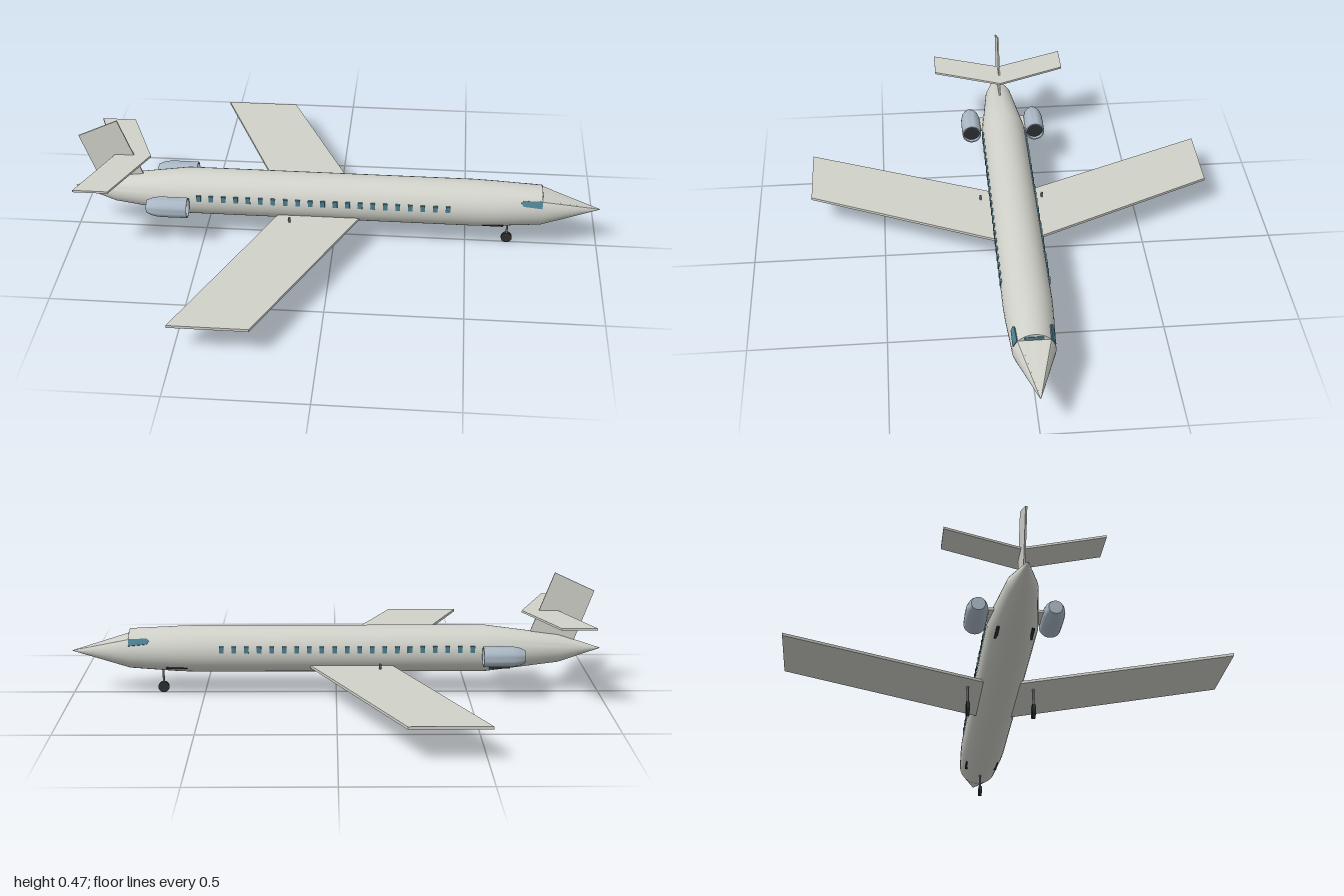
import * as THREE from 'three';
import { toCreasedNormals } from 'three/addons/utils/BufferGeometryUtils.js';

const mat = (color, side = THREE.FrontSide) => new THREE.MeshStandardMaterial({ color, side });
const MID = 0.1725; // height of the fuselage axis

// Closed skin through circular sections [x, centreY, radius, flatTopHeight]
function loft(sections, n = 36) {
  const pos = [], idx = [];
  for (const [x, cy, r, top = Infinity] of sections) {
    for (let j = 0; j < n; j++) {
      const a = (j / n) * Math.PI * 2;
      pos.push(x, Math.min(cy + r * Math.sin(a), top), r * Math.cos(a));
    }
  }
  for (let i = 0; i < sections.length - 1; i++) {
    for (let j = 0; j < n; j++) {
      const k = (j + 1) % n, a = i * n + j, b = i * n + k;
      idx.push(a, a + n, b, b, a + n, b + n);
    }
  }
  const g = new THREE.BufferGeometry();
  g.setAttribute('position', new THREE.Float32BufferAttribute(pos, 3));
  g.setIndex(idx);
  return toCreasedNormals(g, 0.4);
}

// Thin slab cut from an outline, centred on its own thickness
function slab(points, thickness) {
  const shape = new THREE.Shape(points.map(([x, y]) => new THREE.Vector2(x, y)));
  return new THREE.ExtrudeGeometry(shape, { depth: thickness, bevelEnabled: false })
    .translate(0, 0, -thickness / 2);
}

export function createModel() {
  const model = new THREE.Group();
  const skin = mat(0xd0d2ca), glass = mat(0x4d7f90), dark = mat(0x2c2f32);
  const strutMat = mat(0x777b7d), nacelleMat = mat(0xa9b7c4, THREE.DoubleSide);

  const add = (name, geometry, material, x = 0, y = 0, z = 0, parent = model) => {
    const m = new THREE.Mesh(geometry, material);
    m.name = name;
    m.position.set(x, y, z);
    parent.add(m);
    return m;
  };

  // Fuselage with tail cone, stepped windscreen and flat-topped nose
  add('fuselage', loft([
    [-1, 0.172, 0.001], [-0.84, 0.172, 0.053], [-0.56, MID, 0.0885],
    [0.53, MID, 0.0885], [0.6, MID, 0.086], [0.78, 0.175, 0.075],
    [0.78, 0.175, 0.075, 0.225], [1, 0.165, 0.001],
  ]), skin);

  // Swept wing and tailplane, each one slab across the centre line
  const swept = (lead, trail, tipLead, tipTrail, span) => [
    [lead, 0], [tipLead, span], [tipTrail, span], [trail, 0], [tipTrail, -span], [tipLead, -span],
  ];
  add('wing', slab(swept(0.13, -0.18, -0.23, -0.515, 0.78), 0.01).rotateX(-Math.PI / 2), skin, 0, 0.12);
  add('tailplane', slab(swept(-0.7, -0.835, -0.81, -0.94, 0.265), 0.008).rotateX(-Math.PI / 2), skin, 0, 0.315);
  add('fin', slab([[-0.89, 0.175], [-0.71, 0.175], [-0.82, 0.465], [-0.97, 0.395]], 0.006), skin);

  // Nacelle profile: radius against distance along the engine
  const nacelle = new THREE.LatheGeometry([
    [0, 0], [0.024, 0], [0.033, 0.02], [0.038, 0.045], [0.039, 0.1], [0.038, 0.155], [0.033, 0.155], [0.031, 0.12],
  ].map(([r, h]) => new THREE.Vector2(r, h)), 28).rotateZ(-Math.PI / 2);
  const nacelleGeo = toCreasedNormals(nacelle, 0.6);
  const windowGeo = new THREE.BoxGeometry(0.017, 0.025, 0.008);

  for (const s of [1, -1]) {
    const side = s > 0 ? 'right' : 'left';

    // Engine
    const engine = new THREE.Group();
    engine.name = side + 'Engine';
    engine.position.set(-0.7, 0.175, s * 0.13);
    add('nacelle', nacelleGeo, nacelleMat, 0, 0, 0, engine);
    add('fan', new THREE.CylinderGeometry(0.033, 0.033, 0.004, 28).rotateZ(Math.PI / 2), dark, 0.14, 0, 0, engine);
    add('pylon', new THREE.BoxGeometry(0.09, 0.01, 0.04), skin, 0.08, 0, -s * 0.045, engine);
    model.add(engine);

    // Cabin windows
    const windows = new THREE.Group();
    windows.name = side + 'CabinWindows';
    for (let i = 0; i < 21; i++) {
      add('cabinWindow', windowGeo, glass, -0.51 + i * 0.047, 0.19, s * 0.0865, windows);
    }
    model.add(windows);

    // Cockpit side window, leaning with the skin
    const pane = slab([[-0.04, 0.006], [-0.03, -0.008], [0.04, -0.014], [0.04, 0.014], [-0.03, 0.014]], 0.006);
    const cockpit = add(side + 'CockpitWindow', pane, glass, 0.74, 0.214, s * 0.0665);
    cockpit.rotation.set(-s * 0.54, s * 0.06, 0);

    // Lower hatch edges
    for (const x of [-0.615, 0.6]) {
      add(side + 'HatchEdge', new THREE.BoxGeometry(0.08, 0.006, 0.01), dark, x, 0.113, s * 0.06);
    }
  }

  // Windscreen on the step above the nose
  add('windscreen', new THREE.BoxGeometry(0.004, 0.013, 0.066), glass, 0.78, 0.233, 0);

  // Landing gear: strut and wheel
  const gear = (name, x, z, radius, top) => {
    const g = new THREE.Group();
    g.name = name;
    g.position.set(x, 0, z);
    add('strut', new THREE.CylinderGeometry(0.004, 0.004, top - radius, 10), strutMat, 0, (top + radius) / 2, 0, g);
    add('wheel', new THREE.CylinderGeometry(radius, radius, 0.012, 20).rotateX(Math.PI / 2), dark, 0, radius, 0, g);
    model.add(g);
  };
  gear('rightMainGear', -0.163, 0.12, 0.027, 0.145);
  gear('leftMainGear', -0.163, -0.12, 0.027, 0.145);
  gear('noseGear', 0.658, 0, 0.021, 0.12);

  return model;
}
